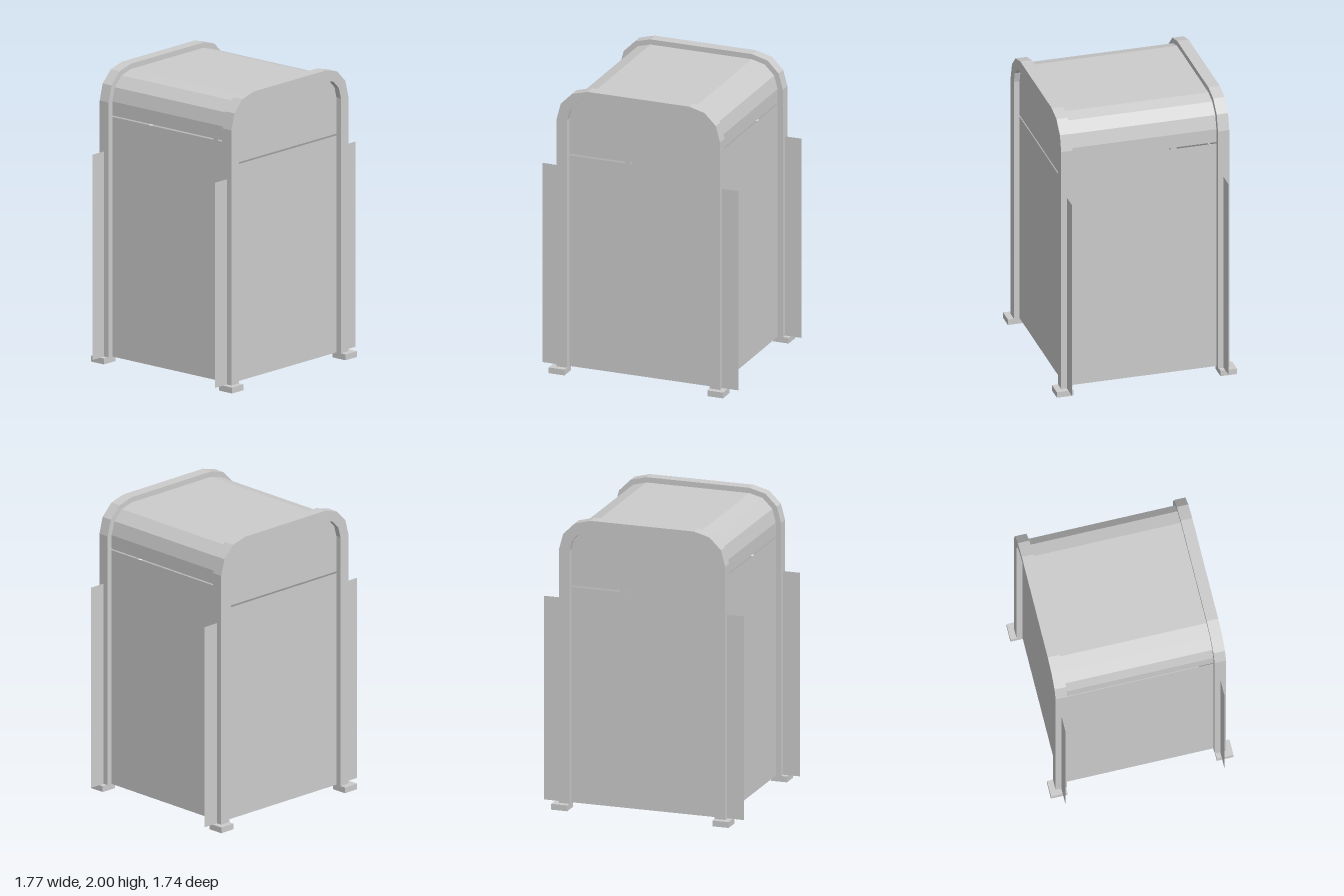
import * as THREE from 'three';

const grey = new THREE.MeshStandardMaterial({ color: 0xcccccc, flatShading: true });
const sheet = new THREE.MeshStandardMaterial({ color: 0xcccccc, flatShading: true, side: THREE.DoubleSide });

const SPRING = 1.78;               // height where the arch corners start
const BASE = 0.04;                 // underside of walls and hoops
const WALL_X = 0.546, WALL_Z = 0.539;

// Arch outline, from lower right over the top to lower left
function arch(halfWidth, radius, bottom) {
  const right = [[halfWidth, bottom]];
  for (let i = 0; i <= 3; i++) {
    const a = (i / 3) * Math.PI / 2;
    right.push([halfWidth - radius + radius * Math.cos(a), SPRING + radius * Math.sin(a)]);
  }
  const left = right.map(([x, y]) => [-x, y]).reverse();
  return [...right, ...left].map(([x, y]) => new THREE.Vector2(x, y));
}

// Thin sheet that follows a profile and runs along z
function sweep(profile, halfDepth) {
  const n = profile.length;
  const geo = new THREE.PlaneGeometry(1, 1, n - 1, 1);
  const pos = geo.attributes.position;
  for (let i = 0; i < pos.count; i++) {
    const p = profile[i % n];
    pos.setXYZ(i, p.x, p.y, i < n ? -halfDepth : halfDepth);
  }
  geo.computeVertexNormals();
  return geo;
}

export function createModel() {
  const model = new THREE.Group();
  model.name = 'collectionBox';
  const add = (name, geo, mat, x = 0, y = 0, z = 0) => {
    const mesh = new THREE.Mesh(geo, mat);
    mesh.name = name;
    mesh.position.set(x, y, z);
    model.add(mesh);
    return mesh;
  };

  // Rounded roof, hanging down to the slot above each side wall
  add('roof', sweep(arch(WALL_X, 0.184, 1.685), WALL_Z), sheet);

  // Side walls
  for (const s of [-1, 1]) {
    const wall = add(s > 0 ? 'leftWall' : 'rightWall',
      new THREE.PlaneGeometry(2 * WALL_Z, 1.675 - BASE), sheet, s * WALL_X, (1.675 + BASE) / 2, 0);
    wall.rotation.y = s * Math.PI / 2;
  }

  // Floor, set a little above the wall bottoms
  const floor = add('floor', new THREE.PlaneGeometry(2 * WALL_X, 2 * WALL_Z), sheet, 0, 0.1, 0);
  floor.rotation.x = Math.PI / 2;

  // Arched end frames: outer arch down, inner arch back up
  const hoopShape = new THREE.Shape([...arch(0.583, 0.22, BASE), ...arch(0.509, 0.147, BASE).reverse()]);
  const hoopGeo = new THREE.ExtrudeGeometry(hoopShape, { depth: 0.078, bevelEnabled: false });
  hoopGeo.translate(0, 0, -0.039);

  // End panel with thin side flanges reaching past the frame
  const panelShape = new THREE.Shape([
    [-0.7, BASE], [0.7, BASE], [0.7, 1.44], [WALL_X, 1.44],
    [WALL_X, 1.52], [-WALL_X, 1.52], [-WALL_X, 1.44], [-0.7, 1.44],
  ].map(([x, y]) => new THREE.Vector2(x, y)));
  const panelGeo = new THREE.ShapeGeometry(panelShape);
  // Arched panel above the slot
  const topGeo = new THREE.ShapeGeometry(new THREE.Shape(arch(WALL_X, 0.184, 1.532)));
  const footGeo = new THREE.BoxGeometry(0.113, 0.04, 0.113);

  for (const s of [-1, 1]) {
    const end = s > 0 ? 'front' : 'back';
    add(end + 'Frame', hoopGeo, grey, 0, 0, s * WALL_Z);
    for (const [name, geo] of [['Panel', panelGeo], ['UpperPanel', topGeo]]) {
      const panel = add(end + name, geo, sheet, 0, 0, s * WALL_Z);
      if (s < 0) panel.rotation.y = Math.PI;
    }
    // Feet under the frame legs
    for (const t of [-1, 1]) {
      add(end + (t > 0 ? 'Left' : 'Right') + 'Foot', footGeo, grey, t * 0.566, 0.02, s * 0.5625);
    }
  }

  // The box stands turned on its base
  model.rotation.y = THREE.MathUtils.degToRad(38);
  const root = new THREE.Group();
  root.name = 'model';
  root.add(model);
  return root;
}
